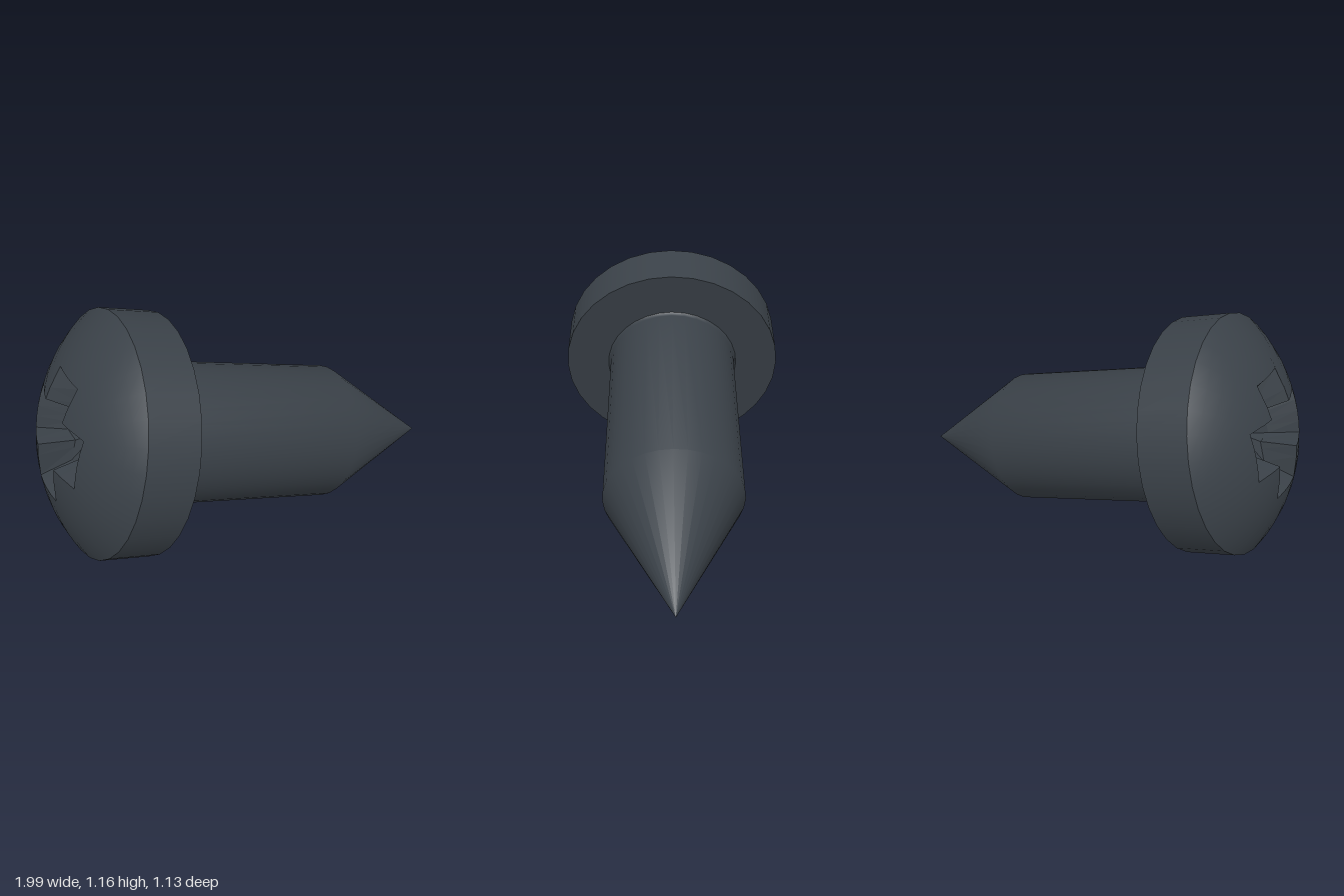
import * as THREE from 'three';

const SIDES = 32;
const HEAD_R = 0.553;      // head radius
const RIM_LOW = 1.604;     // distances along the axis, measured from the tip
const RIM_TOP = 1.841;
const DOME_H = 0.22;
const DOME_R = (HEAD_R ** 2 + DOME_H ** 2) / (2 * DOME_H);
const DOME_C = RIM_TOP + DOME_H - DOME_R;

const domeY = (r) => DOME_C + Math.sqrt(DOME_R ** 2 - r ** 2);

// Radius of a plus-shaped outline at a given angle
function crossRadius(angle, length) {
  const c = Math.abs(Math.cos(angle)), s = Math.abs(Math.sin(angle));
  const major = Math.max(c, s), minor = Math.min(c, s);
  const half = length * Math.tan(Math.PI / 8);
  return Math.min(length / major, half / Math.max(minor, 1e-6));
}

// Surface through closed rings; each ring maps an angle to [radius, height]
function loft(rings) {
  const pos = [], index = [];
  rings.forEach((ring, k) => {
    for (let i = 0; i < SIDES; i++) {
      const a = (i / SIDES) * Math.PI * 2;
      const [r, y] = ring(a);
      pos.push(r * Math.cos(a), y, r * Math.sin(a));
      if (k === rings.length - 1) continue;
      const j = (i + 1) % SIDES;
      const A = k * SIDES + i, C = k * SIDES + j, B = A + SIDES, D = C + SIDES;
      index.push(A, C, B, C, D, B);
    }
  });
  const g = new THREE.BufferGeometry();
  g.setAttribute('position', new THREE.Float32BufferAttribute(pos, 3));
  g.setIndex(index);
  g.computeVertexNormals();
  return g;
}

const lathe = (pts) =>
  new THREE.LatheGeometry(pts.map(([r, y]) => new THREE.Vector2(r, y)), SIDES);

export function createModel() {
  const metal = new THREE.MeshStandardMaterial({ color: 0x3a4148 });
  metal.name = 'darkMetal';

  const screw = new THREE.Group();
  screw.name = 'screw';
  const add = (name, geometry) => {
    const m = new THREE.Mesh(geometry, metal);
    m.name = name;
    screw.add(m);
  };

  // Pointed shank with a small fillet under the head
  add('shank', lathe([[0, 0], [0.327, 0.635], [0.327, 1.59], [0.338, RIM_LOW]]));

  // Head underside and rim
  add('headUnderside', lathe([[0.335, RIM_LOW], [HEAD_R, RIM_LOW]]));
  add('headRim', lathe([[HEAD_R, RIM_LOW], [HEAD_R, RIM_TOP]]));

  // Domed top with a cross-shaped opening
  const LIP = 0.27, STEPS = 7;
  const domeRings = [];
  for (let k = 0; k <= STEPS; k++) {
    domeRings.push((a) => {
      const r = THREE.MathUtils.lerp(crossRadius(a, LIP), HEAD_R, k / STEPS);
      return [r, domeY(r)];
    });
  }
  const dome = loft(domeRings);
  const p = dome.attributes.position, n = dome.attributes.normal;
  for (let i = 0; i < p.count; i++) {
    n.setXYZ(i, p.getX(i) / DOME_R, (p.getY(i) - DOME_C) / DOME_R, p.getZ(i) / DOME_R);
  }
  add('headDome', dome);

  // Tapered cross recess: sunken centre, floor, sloping walls up to the lip
  const recess = loft([
    () => [0, 1.83],
    (a) => [crossRadius(a, 0.175), 1.89],
    (a) => { const r = crossRadius(a, LIP); return [r, domeY(r)]; },
  ]).toNonIndexed();
  recess.computeVertexNormals();
  add('driveRecess', recess);

  // Lay the screw on its tilted axis (local +y runs from tip to head)
  const axis = new THREE.Vector3(-0.945, 0.261, -0.199).normalize();
  const up = new THREE.Vector3(0, 1, 0).addScaledVector(axis, -axis.y).normalize();
  const side = new THREE.Vector3().crossVectors(up, axis);
  screw.quaternion.setFromRotationMatrix(new THREE.Matrix4().makeBasis(up, axis, side));
  screw.position.set(0.99, 0.15, 0.34);

  const model = new THREE.Group();
  model.name = 'model';
  model.add(screw);
  return model;
}
